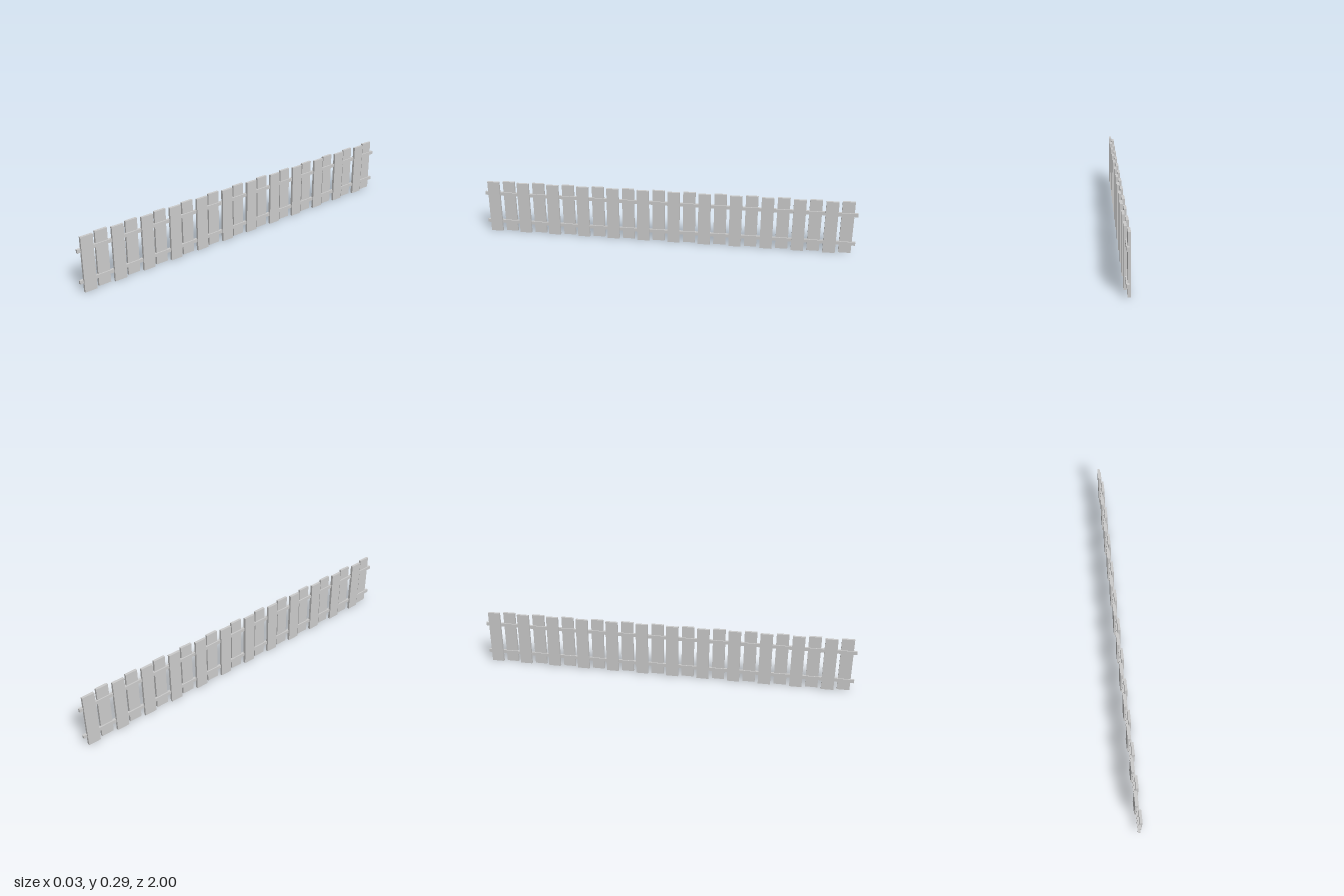
import * as THREE from 'three';

export function createModel() {
  const group = new THREE.Group();
  const material = new THREE.MeshStandardMaterial({ color: 0xcccccc, flatShading: true });

  function addBox(name, size, position) {
    const mesh = new THREE.Mesh(new THREE.BoxGeometry(...size), material);
    mesh.name = name;
    mesh.position.set(...position);
    group.add(mesh);
  }

  // Two long rails running the length of the fence
  addBox('lowerRail', [0.013, 0.018, 2], [0, 0.056, 0]);
  addBox('upperRail', [0.013, 0.018, 2], [0, 0.2195, 0]);

  // Pickets alternate between the two sides of the rails
  const count = 24, thickness = 0.0132, height = 0.29, end = 0.949;
  for (let i = 0; i < count; i++) {
    const side = i % 2 === 0 ? -1 : 1;
    const z = -end + (2 * end * i) / (count - 1);
    addBox(`picket${i + 1}`, [thickness, height, 0.065], [side * thickness / 2, height / 2, z]);
  }

  return group;
}
